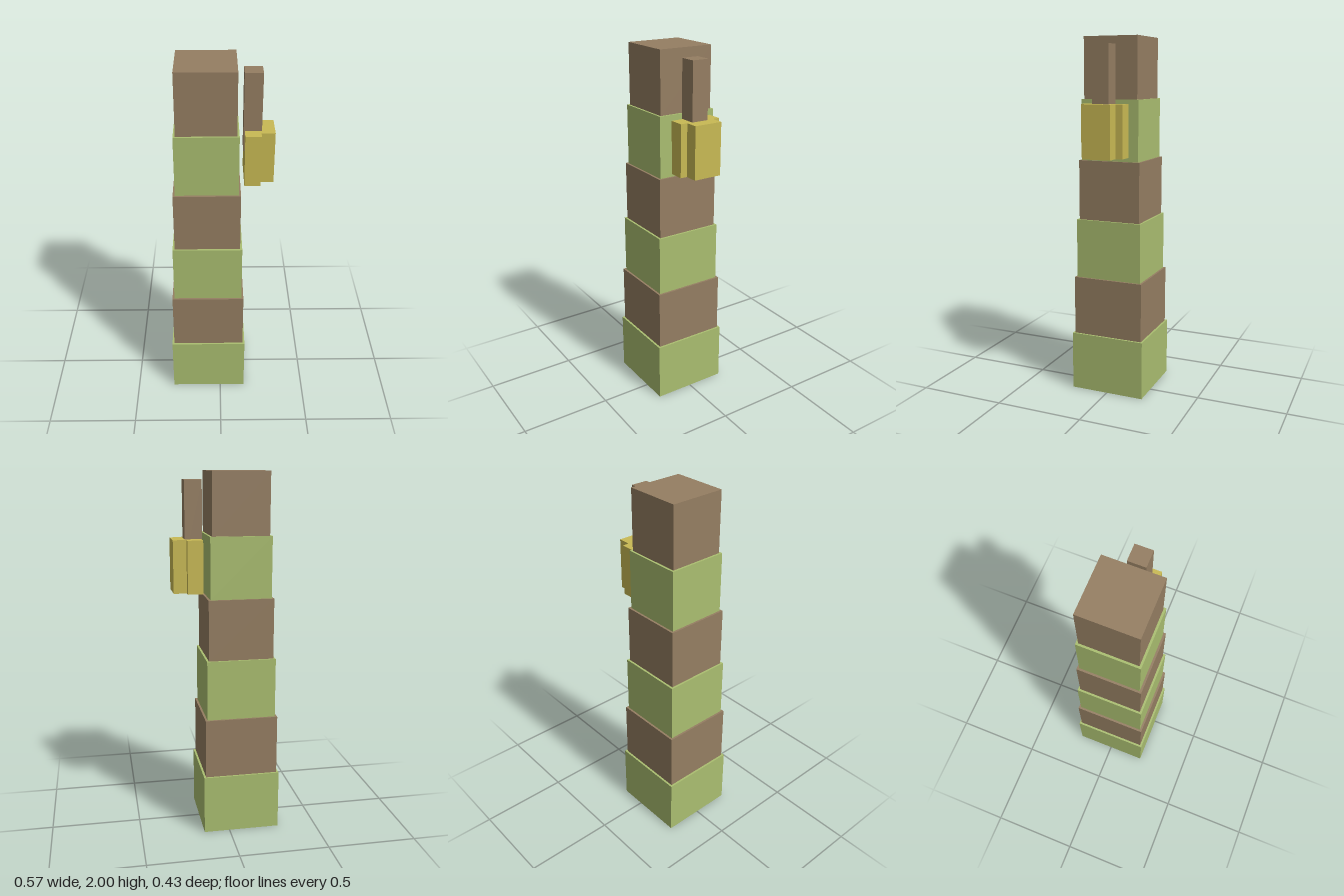
import * as THREE from 'three';

const material = (name, color) => {
  const m = new THREE.MeshStandardMaterial({ color });
  m.name = name;
  return m;
};

// Axis-aligned block given by its extents on each axis
function block(name, mat, [x0, x1], [y0, y1], [z0, z1]) {
  const mesh = new THREE.Mesh(new THREE.BoxGeometry(x1 - x0, y1 - y0, z1 - z0), mat);
  mesh.position.set((x0 + x1) / 2, (y0 + y1) / 2, (z0 + z1) / 2);
  mesh.name = name;
  return mesh;
}

export function createModel() {
  const group = new THREE.Group();
  group.name = 'steppedTrunk';
  const green = material('leafGreen', 0xaabe70);
  const brown = material('barkBrown', 0x957e62);
  const yellow = material('podYellow', 0xc9ba54);

  // Six stacked trunk segments, each a little narrower, alternating in colour
  const cx = -0.07, height = 2 / 6;
  for (let i = 0; i < 6; i++) {
    const h = 0.214 - i * 0.0117;
    group.add(block(`trunkSegment${i + 1}`, i % 2 ? brown : green,
      [cx - h, cx + h], [i * height, (i + 1) * height], [-h, h]));
  }

  // Hanging stem beside the trunk
  group.add(block('stem', brown, [0.121, 0.215], [1.53, 1.955], [-0.047, 0.047]));

  // Stepped pod as one solid: wide inner half, narrower outer half
  const outline = [
    [0.127, -0.119], [0.211, -0.119], [0.211, -0.08], [0.283, -0.08],
    [0.283, 0.08], [0.211, 0.08], [0.211, 0.119], [0.127, 0.119],
  ].map(([x, y]) => new THREE.Vector2(x, y));
  const podGeometry = new THREE.ExtrudeGeometry(new THREE.Shape(outline),
    { depth: 0.285, bevelEnabled: false });
  podGeometry.rotateX(-Math.PI / 2);
  const pod = new THREE.Mesh(podGeometry, yellow);
  pod.position.set(0, 1.36, -0.004);
  pod.name = 'pod';
  group.add(pod);

  return group;
}
